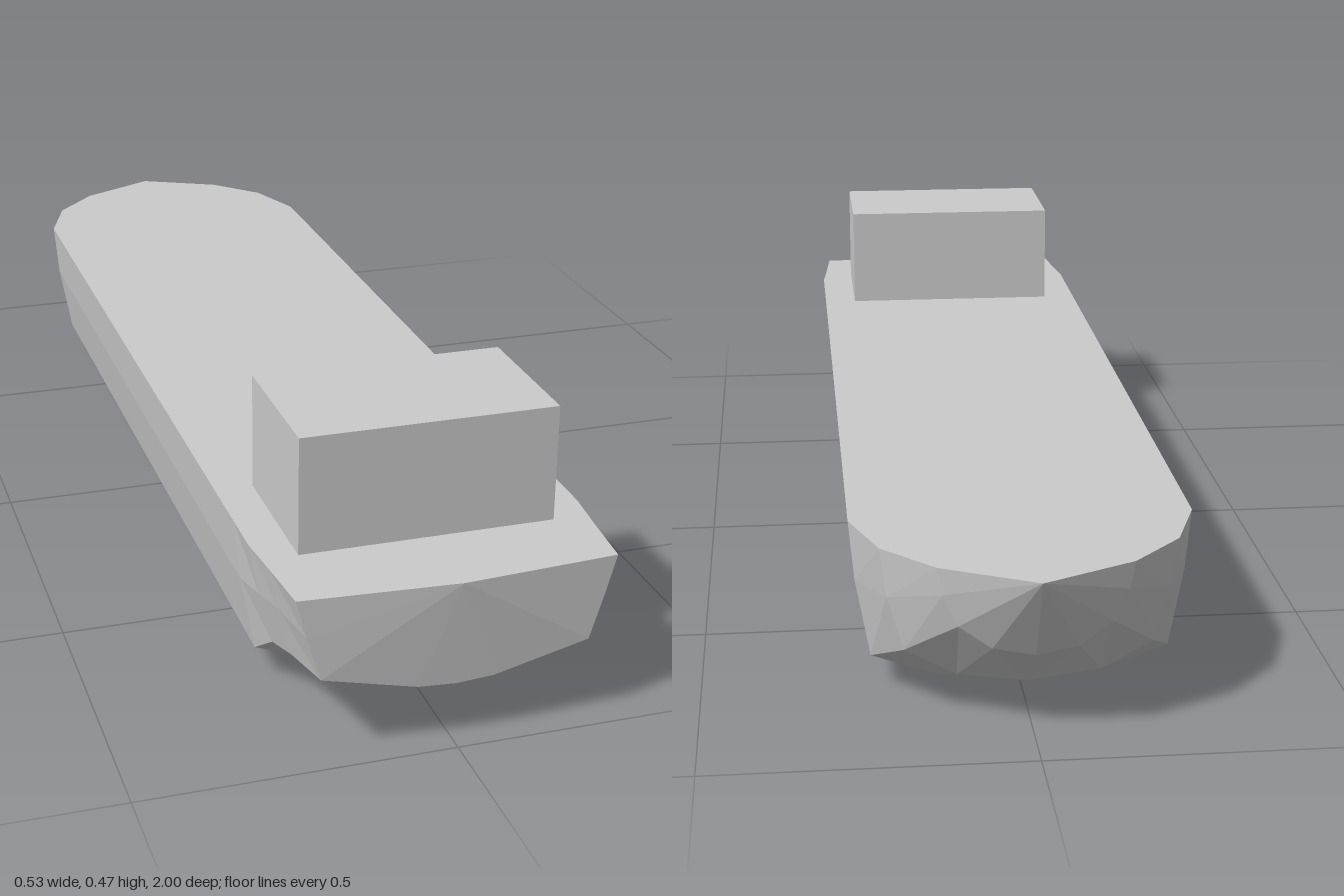
import * as THREE from 'three';

const DECK = 0.278;
const material = new THREE.MeshStandardMaterial({ color: 0xcccccc, flatShading: true });

// Half cross-sections from stern to bow: station z, then [x, y] from keel to deck edge
const MIDSHIP = [[0, 0], [0.135, 0.017], [0.235, 0.053], [0.258, 0.18], [0.267, DECK]];
const STATIONS = [
  { z: 0.983, half: [[0, 0.101], [0.06, 0.105], [0.211, 0.142], [0.233, 0.215], [0.25, DECK]] },
  { z: 0.88, half: [[0, 0.09], [0.08, 0.097], [0.225, 0.13], [0.245, 0.21], [0.259, DECK]] },
  { z: 0.8, half: [[0, 0.067], [0.11, 0.078], [0.23, 0.107], [0.252, 0.195], [0.267, DECK]] },
  { z: 0.72, half: MIDSHIP },
  { z: -0.725, half: MIDSHIP },
  { z: -0.843, half: [[0, 0.055], [0.11, 0.07], [0.19, 0.113], [0.215, 0.2], [0.225, DECK]] },
  { z: -0.928, half: [[0, 0.135], [0.065, 0.148], [0.115, 0.185], [0.137, 0.235], [0.145, DECK]] },
];

// Closed ring: keel, left side, deck centre, right side
function ring({ z, half }, deckZ = z) {
  const left = half.map(([x, y]) => [x, y, z]);
  const right = left.slice(1).reverse().map(([x, y, pz]) => [-x, y, pz]);
  return [...left, [0, DECK, deckZ], ...right];
}

function hullGeometry() {
  const rings = STATIONS.map((s, i) => ring(s, i === 0 ? 1 : s.z));
  const n = rings[0].length;
  const centre = 5;
  const positions = [];
  const tri = (...pts) => pts.forEach((p) => positions.push(...p));

  // Skin between neighbouring stations, diagonals mirrored about the keel
  for (let i = 0; i < rings.length - 1; i++) {
    for (let j = 0; j < n; j++) {
      const k = (j + 1) % n;
      const a = rings[i][j], b = rings[i][k], c = rings[i + 1][k], d = rings[i + 1][j];
      if (j < centre) { tri(a, d, c); tri(a, c, b); }
      else { tri(a, d, b); tri(b, d, c); }
    }
  }

  // Transom fan and bow fan
  const tip = [0, DECK, -1];
  const last = rings[rings.length - 1];
  for (let j = 0; j < n; j++) {
    const k = (j + 1) % n;
    if (j !== centre && k !== centre) tri(rings[0][centre], rings[0][j], rings[0][k]);
    tri(last[j], tip, last[k]);
  }

  const geometry = new THREE.BufferGeometry();
  geometry.setAttribute('position', new THREE.Float32BufferAttribute(positions, 3));
  geometry.computeVertexNormals();
  return geometry;
}

export function createModel() {
  const group = new THREE.Group();
  group.name = 'cargoShip';

  const hull = new THREE.Mesh(hullGeometry(), material);
  hull.name = 'hull';
  group.add(hull);

  // Deckhouse near the stern
  const deckhouse = new THREE.Mesh(new THREE.BoxGeometry(0.41, 0.19, 0.244), material);
  deckhouse.name = 'deckhouse';
  deckhouse.position.set(0, DECK + 0.095, 0.728);
  group.add(deckhouse);

  return group;
}
